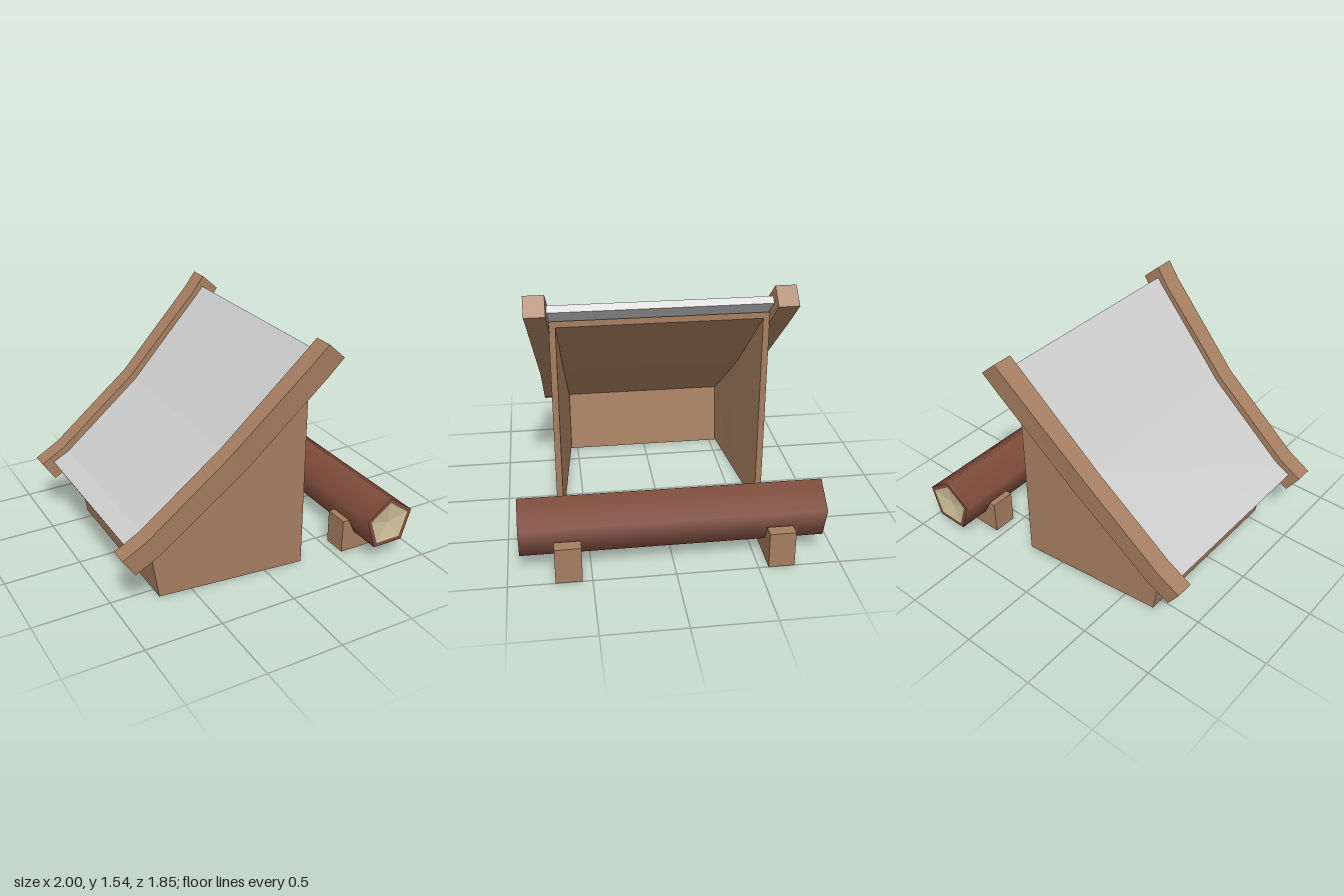
import * as THREE from 'three';

const mat = (name, color) => {
  const m = new THREE.MeshStandardMaterial({ color });
  m.name = name;
  return m;
};

// Flat-faced solid through a row of four-cornered sections, capped at both ends.
function loft(sections) {
  const p = [];
  const tri = (a, b, c) => p.push(a, b, c);
  const quad = (a, b, c, d) => { tri(a, b, c); tri(a, c, d); };
  for (let i = 0; i + 1 < sections.length; i++) {
    const s = sections[i], t = sections[i + 1];
    for (let k = 0; k < 4; k++) quad(s[k], s[(k + 1) % 4], t[(k + 1) % 4], t[k]);
  }
  const s = sections[0], e = sections[sections.length - 1];
  quad(s[3], s[2], s[1], s[0]);
  quad(e[0], e[1], e[2], e[3]);
  // Turn all corners round if the solid came out inside out.
  let volume = 0;
  const V = (a) => new THREE.Vector3(...a);
  for (let i = 0; i < p.length; i += 3) volume += V(p[i]).dot(V(p[i + 1]).cross(V(p[i + 2])));
  if (volume < 0) p.reverse();
  const g = new THREE.BufferGeometry();
  g.setAttribute('position', new THREE.Float32BufferAttribute(p.flat(), 3));
  g.computeVertexNormals();
  return g;
}

// Section spanning the width: upper point, lower point, half width.
const across = ([ux, uy, lx, ly, w]) => [[ux, uy, w], [ux, uy, -w], [lx, ly, -w], [lx, ly, w]];

export function createModel() {
  const group = new THREE.Group();
  const wood = mat('wood', 0xa67e60);
  const sheet = mat('roofGrey', 0xcccccc);
  const bark = mat('bark', 0x814d3d);
  const heart = mat('heartwood', 0xcfc29a);
  const add = (name, geometry, material) => {
    const m = new THREE.Mesh(geometry, material);
    m.name = name;
    group.add(m);
    return m;
  };

  // Grey roof sheet, bent along the slope
  add('roofSheet', loft([
    [-0.92, 0.43, -0.895, 0.385, 0.615],
    [-0.81, 0.487, -0.78, 0.445, 0.62],
    [-0.28, 0.91, -0.245, 0.873, 0.64],
    [0.28, 1.47, 0.315, 1.435, 0.695],
  ].map(across)), sheet);

  // Wooden ceiling and back wall, between the side walls
  add('ceiling', loft([
    [-0.775, 0.44, -0.75, 0.40, 0.545],
    [-0.23, 0.87, -0.205, 0.84, 0.59],
    [0.26, 1.36, 0.26, 1.32, 0.64],
  ].map(across)), wood);
  add('backWall', loft([
    [-0.71, 0, -0.67, 0, 0.545],
    [-0.775, 0.44, -0.735, 0.44, 0.545],
  ].map(across)), wood);

  for (const side of [1, -1]) {
    const label = side > 0 ? 'left' : 'right';

    // Side wall: bottom x, top x, top y, outer z
    add(label + 'Wall', loft([
      [-0.71, -0.775, 0.44, 0.585],
      [-0.23, -0.23, 0.87, 0.632],
      [0.26, 0.26, 1.36, 0.68],
    ].map(([bx, tx, ty, z]) => [
      [bx, 0, side * z], [tx, ty, side * z],
      [tx, ty, side * (z - 0.04)], [bx, 0, side * (z - 0.04)],
    ])), wood);

    // Roof beam: upper x, y, lower x, y, inner z, outer z
    add(label + 'Beam', loft([
      [-1, 0.43, -0.92, 0.31, 0.61, 0.727],
      [-0.84, 0.52, -0.77, 0.39, 0.612, 0.73],
      [-0.31, 0.94, -0.2, 0.82, 0.632, 0.75],
      [0.2, 1.44, 0.305, 1.33, 0.68, 0.81],
      [0.29, 1.54, 0.4, 1.44, 0.697, 0.827],
    ].map(([ux, uy, lx, ly, zi, zo], i) => {
      const lean = i > 2 ? 0 : 0.01;
      return [
        [ux, uy, side * zo], [ux, uy, side * zi],
        [lx, ly, side * (zi - lean)], [lx, ly, side * (zo - lean / 2)],
      ];
    })), wood);

    // Notched cradle under the log
    const cradle = new THREE.Shape([
      [0.555, 0], [1, 0], [1, 0.23], [0.92, 0.23],
      [0.868, 0.12], [0.652, 0.12], [0.6, 0.23], [0.555, 0.23],
    ].map(([x, y]) => new THREE.Vector2(x, y)));
    add(label + 'Cradle', new THREE.ExtrudeGeometry(cradle, { depth: 0.16, bevelEnabled: false }), wood)
      .position.z = side > 0 ? 0.56 : -0.72;

    // Log end: bark rim around a slightly sunken heartwood face
    const rim = add(label + 'LogRim', new THREE.RingGeometry(0.15, 0.182, 5, 1, Math.PI / 2), bark);
    const disc = new THREE.CircleGeometry(0.15, 5, Math.PI / 2);
    disc.attributes.position.setZ(0, -0.02);
    const flatDisc = disc.toNonIndexed();
    flatDisc.computeVertexNormals();
    const end = add(label + 'LogHeart', flatDisc, heart);
    for (const m of [rim, end]) {
      m.position.set(0.762, 0.268, side * 0.925);
      if (side < 0) m.rotation.y = Math.PI;
    }
  }

  // Five-sided log with smooth bark
  const log = new THREE.CylinderGeometry(0.182, 0.182, 1.85, 5, 1, true);
  log.rotateX(-Math.PI / 2);
  add('log', log, bark).position.set(0.762, 0.268, 0);

  return group;
}
